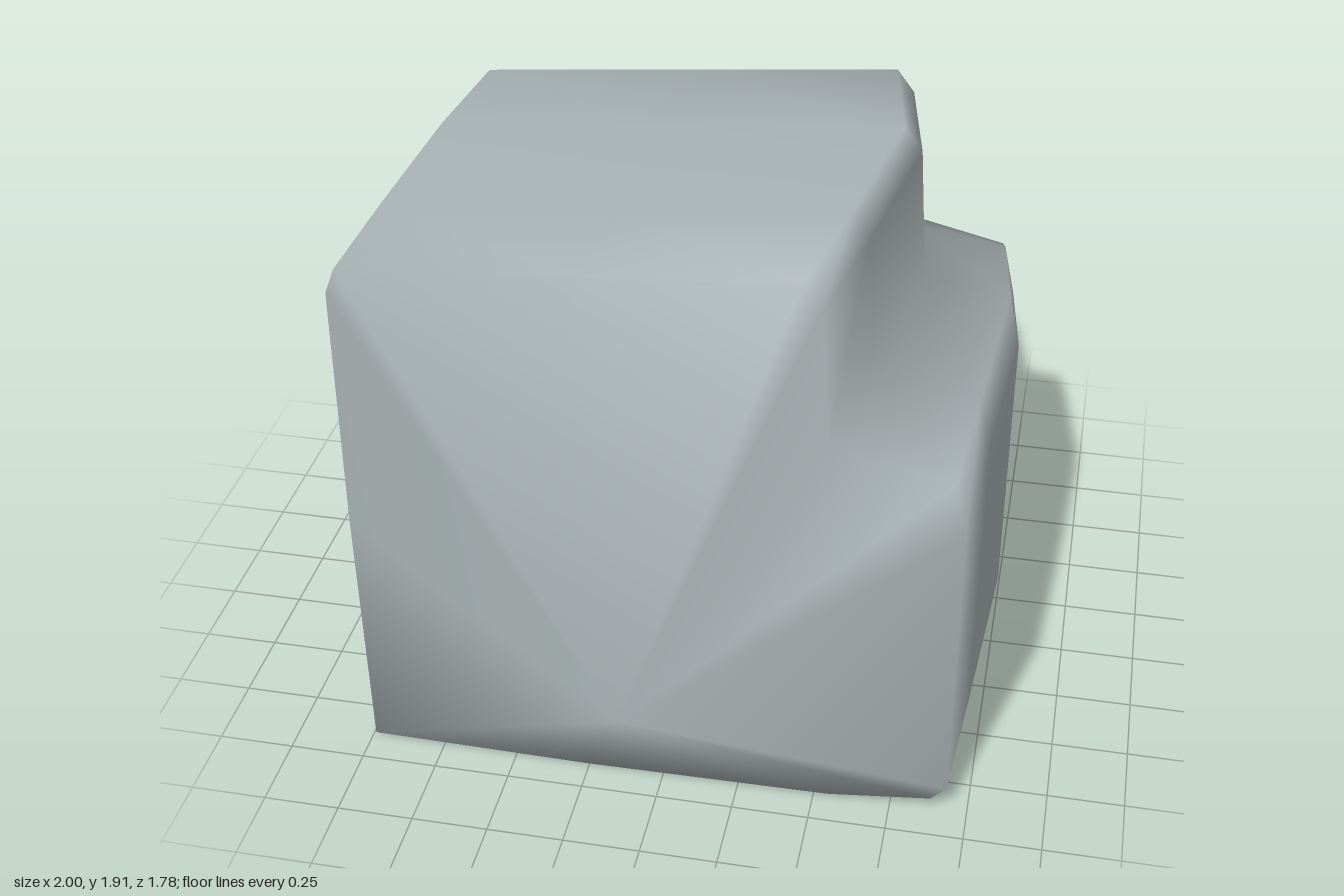
import * as THREE from 'three';

const stone = new THREE.MeshStandardMaterial({ color: 0xaab4b6 });
stone.name = 'grey stone';

// Cross-sections from front to back
const sections = [
  { z: 0.89, step: 0.48, topR: 1.9, topL: 1.8, notch: 1.37, ledge: 1.27, side: 0.93, low: 0.07 },
  { z: 0.45, step: 0.56, topR: 1.915, topL: 1.79, notch: 1.38, ledge: 1.29, side: 0.96, low: 0.08 },
  { z: -0.2, step: 0.64, topR: 1.89, topL: 1.76, notch: 1.37, ledge: 1.28, side: 1.0, low: 0.1 },
  { z: -0.76, step: 0.55, topR: 1.83, topL: 1.7, notch: 1.24, ledge: 1.16, side: 0.945, low: 0.1 },
  { z: -0.89, step: 0.52, topR: 1.64, topL: 1.54, notch: 1.2, ledge: 1.1, side: 0.93, low: 0.1 },
];

// Stepped outline of one section, clockwise from the bottom corner at -x
function outline(s) {
  return [
    [-0.99, 0.01], [-1, 0.9], [-1, s.topL - 0.08], [-0.97, s.topL],
    [-0.25, s.topL + (s.topR - s.topL) * 0.5], [s.step - 0.06, s.topR],
    [s.step, s.topR - 0.08], [s.step + 0.03, s.notch],
    [s.side - 0.04, s.ledge + 0.02], [s.side, s.ledge - 0.16],
    [s.side, s.low + 0.03], [s.side - 0.05, s.low - 0.02],
    [0.55, 0.01], [-0.25, 0],
  ];
}

function buildRock() {
  const positions = [];
  const index = [];
  const n = outline(sections[0]).length;
  const last = sections.length - 1;

  sections.forEach((s, i) => {
    for (const [x, y] of outline(s)) {
      // The front leans back slightly near its top
      const lean = i === 0 ? Math.max(0, y - 1.5) * 0.06 : 0;
      positions.push(x, y, s.z - lean);
    }
  });

  // Skin between neighbouring sections
  for (let i = 0; i < last; i++) {
    for (let j = 0; j < n; j++) {
      const a = i * n + j, b = i * n + (j + 1) % n;
      const c = a + n, d = b + n;
      index.push(a, b, c, b, d, c);
    }
  }

  // Front and back faces fan out from one point each
  const front = positions.length / 3;
  positions.push(-0.15, 0.2, 0.89);
  const back = front + 1;
  positions.push(-0.1, 0.7, -0.89);
  for (let j = 0; j < n; j++) {
    const k = (j + 1) % n;
    index.push(front, k, j);
    index.push(back, last * n + j, last * n + k);
  }

  const geometry = new THREE.BufferGeometry();
  geometry.setAttribute('position', new THREE.Float32BufferAttribute(positions, 3));
  geometry.setIndex(index);
  geometry.computeVertexNormals();
  return geometry;
}

export function createModel() {
  const group = new THREE.Group();
  group.name = 'steppedRock';
  const rock = new THREE.Mesh(buildRock(), stone);
  rock.name = 'rock';
  group.add(rock);
  return group;
}
